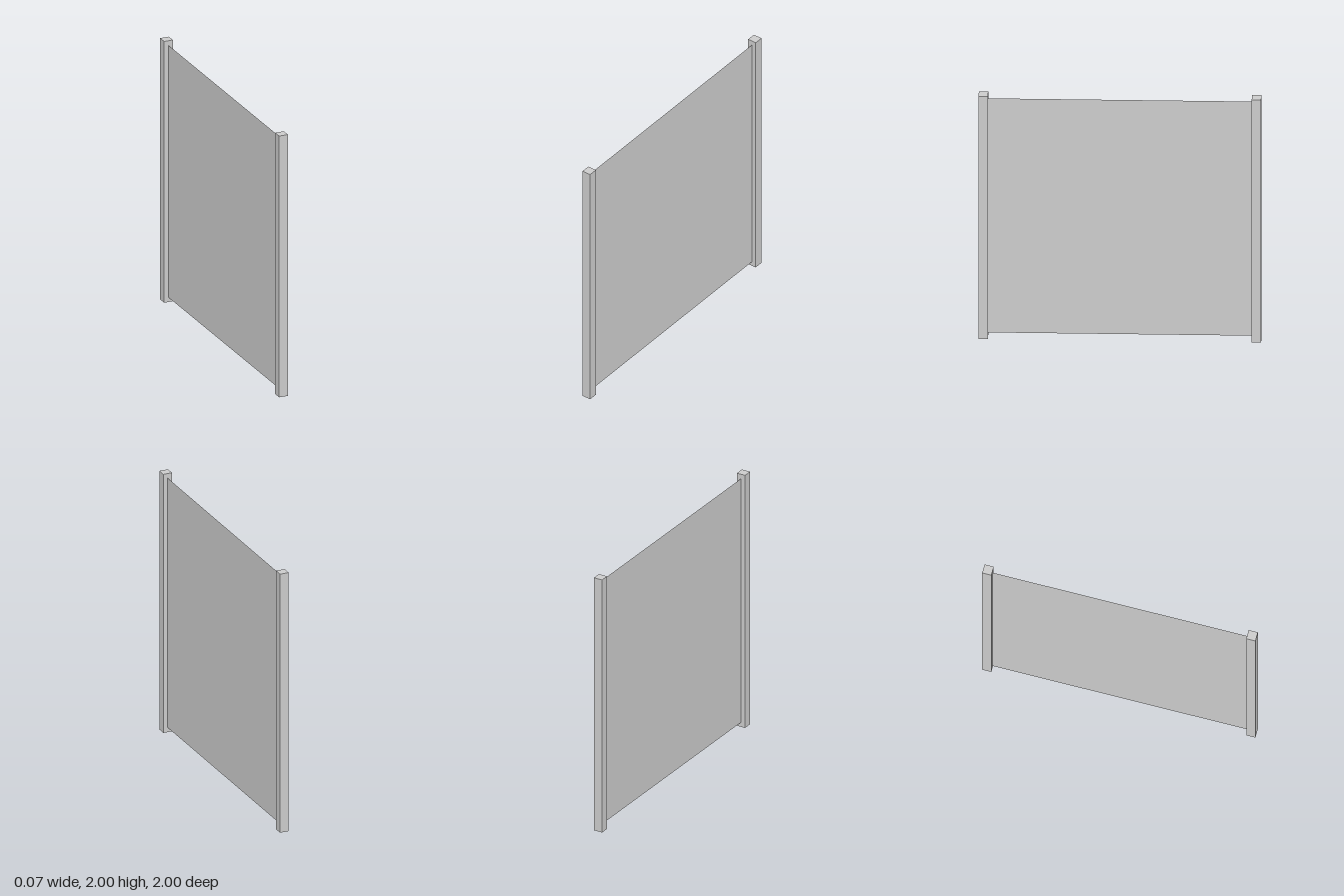
import * as THREE from 'three';

export function createModel() {
  const group = new THREE.Group();
  const size = 0.067; // square post section
  const material = new THREE.MeshStandardMaterial({ color: 0xcccccc, flatShading: true });

  // Two upright square posts at the front and back ends
  for (const [name, side] of [['frontPost', 1], ['backPost', -1]]) {
    const post = new THREE.Mesh(new THREE.BoxGeometry(size, 2, size), material);
    post.name = name;
    post.position.set(0, 1, side * (1 - size / 2));
    group.add(post);
  }

  // Thin sheet stretched between the posts
  const sheetMaterial = material.clone();
  sheetMaterial.side = THREE.DoubleSide;
  const panel = new THREE.Mesh(new THREE.PlaneGeometry(2 - 2 * size, 1.93), sheetMaterial);
  panel.name = 'panel';
  panel.rotation.y = Math.PI / 2;
  panel.position.y = 1;
  group.add(panel);

  return group;
}
